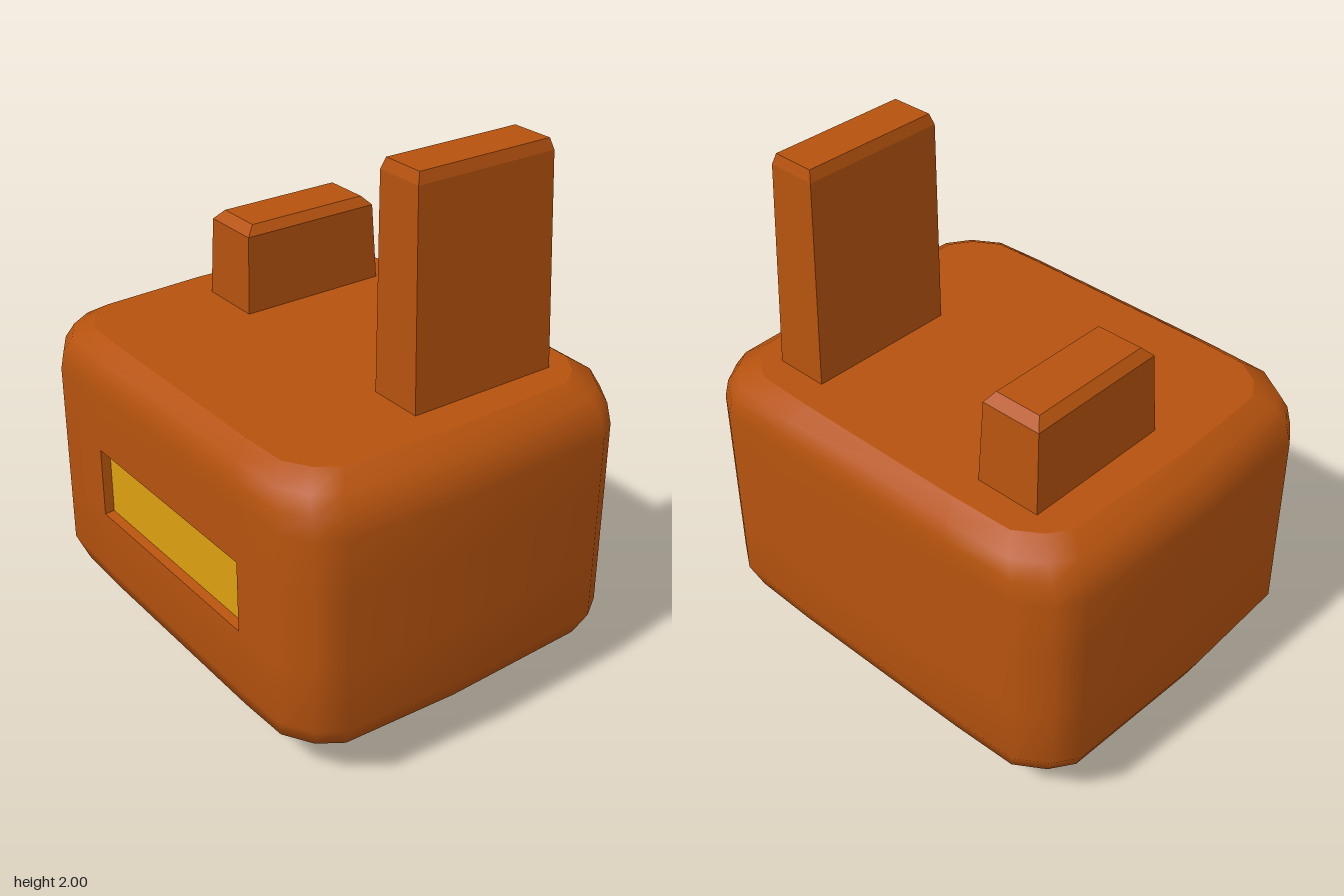
import * as THREE from 'three';

const orange = new THREE.MeshStandardMaterial({ color: 0xb5520e });
const yellow = new THREE.MeshStandardMaterial({ color: 0xdda010 });

// Joins rings of points into a skin; caps use their own vertices so their rims stay sharp.
function loft(rings, { skip = () => false, start = false, end = false } = {}) {
  const n = rings[0].length, pos = rings.flat(2), index = [];
  for (let i = 0; i < rings.length - 1; i++) {
    for (let j = 0; j < n; j++) {
      if (skip(i, j)) continue;
      const a = i * n + j, b = i * n + (j + 1) % n;
      index.push(a, b, b + n, a, b + n, a + n);
    }
  }
  const cap = (ring, flip) => {
    const base = pos.length / 3;
    pos.push(...ring.flat());
    for (let j = 1; j < n - 1; j++) {
      index.push(base, base + (flip ? j + 1 : j), base + (flip ? j : j + 1));
    }
  };
  if (start) cap(rings[0], true);
  if (end) cap(rings[rings.length - 1], false);
  const geo = new THREE.BufferGeometry();
  geo.setAttribute('position', new THREE.Float32BufferAttribute(pos, 3));
  geo.setIndex(index);
  geo.computeVertexNormals();
  return geo;
}

function flat(geo) {
  const g = geo.toNonIndexed();
  g.computeVertexNormals();
  return g;
}

// Window opening in the front wall
const win = { x0: -0.41, x1: 0.48, y0: 0.515, y1: 0.785, z: 0.705, depth: 0.035 };

// Rounded body outline, counter-clockwise from above, starting at the front
const outline = [
  [-0.69, 0.697], [win.x0, win.z], [win.x1, win.z], [0.69, 0.697],
  [0.80, 0.63], [0.86, 0.54], [0.88, 0.07], [0.86, -0.54], [0.80, -0.63],
  [0.69, -0.702], [0.41, -0.71], [-0.41, -0.71], [-0.69, -0.702],
  [-0.80, -0.63], [-0.86, -0.54], [-0.88, 0.07], [-0.86, 0.54], [-0.80, 0.63],
];

// Body levels: height, half width, half depth
const levels = [
  [0, 0.54, 0.44], [0.18, 0.835, 0.67], [0.27, 0.88, 0.705],
  [win.y0, 0.88, 0.705], [win.y1, 0.88, 0.705], [1.0, 0.88, 0.705],
  [1.075, 0.86, 0.698], [1.135, 0.82, 0.675], [1.18, 0.75, 0.61],
];

function buildBody() {
  const rings = levels.map(([y, hx, hz]) =>
    outline.map(([x, z]) => [x * hx / 0.88, y, z * hz / 0.705]));
  return loft(rings, { start: true, end: true, skip: (i, j) => i === 3 && j === 1 });
}

// Recess walls run from the opening back to the panel
function buildRecess() {
  const rect = (m, z) => [
    [win.x0 + m, win.y0 + m, z], [win.x1 - m, win.y0 + m, z],
    [win.x1 - m, win.y1 - m, z], [win.x0 + m, win.y1 - m, z],
  ];
  return flat(loft([rect(0, win.z), rect(0.006, win.z - win.depth)]));
}

// Tapered post with a bevelled top: each level is [y, x0, x1, z0, z1]
function buildPost(sections) {
  const rings = sections.map(([y, x0, x1, z0, z1]) =>
    [[x0, y, z1], [x1, y, z1], [x1, y, z0], [x0, y, z0]]);
  return flat(loft(rings, { start: true, end: true }));
}

export function createModel() {
  const group = new THREE.Group();
  const add = (name, geo, mat) => {
    const mesh = new THREE.Mesh(geo, mat);
    mesh.name = name;
    group.add(mesh);
    return mesh;
  };

  add('body', buildBody(), orange);
  add('windowRecess', buildRecess(), orange);

  // Yellow panel at the back of the recess
  const panel = add('windowPanel',
    new THREE.PlaneGeometry(win.x1 - win.x0, win.y1 - win.y0), yellow);
  panel.position.set((win.x0 + win.x1) / 2, (win.y0 + win.y1) / 2, win.z - win.depth + 0.001);

  add('shortPost', buildPost([
    [1.17, -0.605, -0.35, -0.50, 0.09],
    [1.48, -0.585, -0.35, -0.475, 0.085],
    [1.515, -0.555, -0.375, -0.44, 0.05],
  ]), orange);

  add('tallPost', buildPost([
    [1.17, 0.405, 0.615, -0.50, 0.09],
    [1.96, 0.407, 0.595, -0.472, 0.088],
    [2.0, 0.42, 0.583, -0.46, 0.075],
  ]), orange);

  return group;
}
